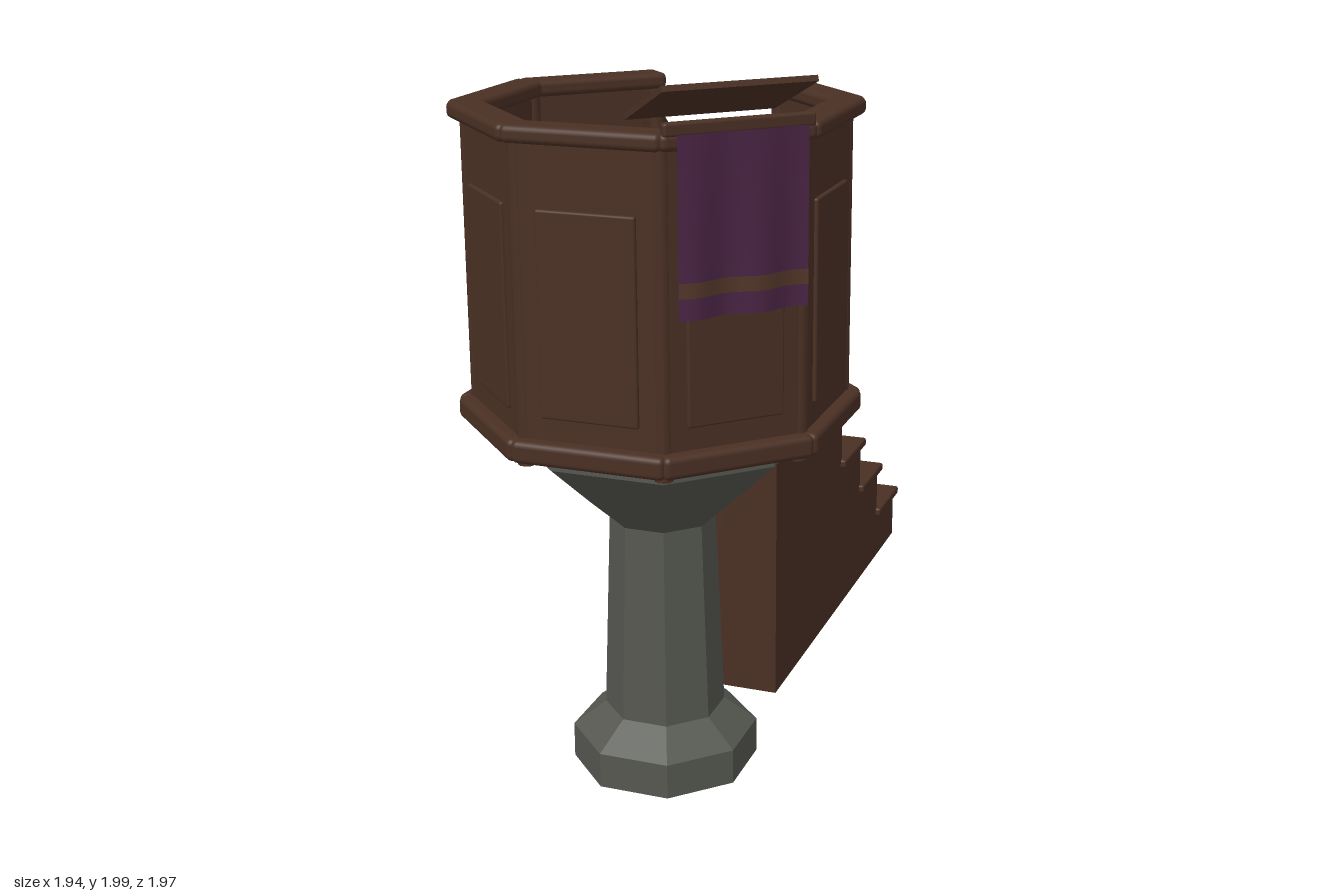
import * as THREE from 'three';
import { RoundedBoxGeometry } from 'three/addons/geometries/RoundedBoxGeometry.js';

const wood = new THREE.MeshStandardMaterial({ name: 'darkWood', color: 0x4a3024 });
const stone = new THREE.MeshStandardMaterial({ name: 'greyStone', color: 0x555750, flatShading: true });
const cloth = new THREE.MeshStandardMaterial({ name: 'purpleCloth', color: 0x4a2444, side: THREE.DoubleSide });
const trim = new THREE.MeshStandardMaterial({ name: 'trimBand', color: 0x523629, side: THREE.DoubleSide });

function add(parent, name, geometry, material, x = 0, y = 0, z = 0) {
  const mesh = new THREE.Mesh(geometry, material);
  mesh.name = name;
  mesh.position.set(x, y, z);
  parent.add(mesh);
  return mesh;
}

function group(parent, name, turn = 0) {
  const g = new THREE.Group();
  g.name = name;
  g.rotation.y = turn;
  parent.add(g);
  return g;
}

// Octagonal stone pedestal with flat sides to the front; profile uses apothems
function buildPedestal(parent) {
  const k = 1 / Math.cos(Math.PI / 8);
  const profile = [[0, 0], [0.24, 0], [0.24, 0.1], [0.155, 0.17], [0.135, 0.735], [0.25, 0.845], [0.375, 0.97], [0.375, 1.02], [0, 1.02]]
    .map(([r, y]) => new THREE.Vector2(r * k, y));
  add(parent, 'pedestal', new THREE.LatheGeometry(profile, 8, Math.PI / 8), stone);
}

// Octagonal box with one side open towards the stair
function buildBox(parent) {
  const floor = add(parent, 'floor', new THREE.CylinderGeometry(0.505, 0.505, 0.025, 8), wood, 0, 1.032, 0);
  floor.rotation.y = Math.PI / 8;
  for (let i = 0; i < 8; i++) {
    const post = group(parent, 'cornerPost', (i + 0.5) * Math.PI / 4);
    add(post, 'post', new THREE.CylinderGeometry(0.024, 0.024, 0.835, 10), wood, 0, 1.43, 0.485).visible = true;
    if (i === 3) continue;
    const side = group(parent, 'side', i * Math.PI / 4);
    add(side, 'wall', new THREE.BoxGeometry(0.386, 0.8, 0.03), wood, 0, 1.45, 0.453);
    add(side, 'raisedPanel', new RoundedBoxGeometry(0.262, 0.53, 0.03, 2, 0.006), wood, 0, 1.412, 0.463);
    add(side, 'topRail', new RoundedBoxGeometry(0.412, 0.045, 0.095, 3, 0.016), wood, 0, 1.86, 0.457);
    add(side, 'baseRail', new RoundedBoxGeometry(0.412, 0.06, 0.06, 3, 0.016), wood, 0, 1.058, 0.475);
  }
}

// Sloping book rest with a front bar
function buildDesk(parent) {
  const desk = add(parent, 'bookRest', new THREE.BoxGeometry(0.405, 0.015, 0.253), wood, 0, 1.938, 0.388);
  desk.rotation.x = -Math.atan2(0.1, 0.235);
  add(parent, 'bookRestBar', new RoundedBoxGeometry(0.4, 0.035, 0.025, 2, 0.008), wood, 0, 1.89, 0.493);
}

// Cloth sheet between two heights, with folds that deepen downwards
function clothSheet(bottom, top, offset) {
  const geo = new THREE.PlaneGeometry(0.345, top - bottom, 24, 8);
  geo.translate(0, (top + bottom) / 2, 0);
  const p = geo.attributes.position;
  for (let i = 0; i < p.count; i++) {
    const drop = (1.88 - p.getY(i)) / 0.45;
    p.setZ(i, 0.519 + offset + (0.003 + 0.008 * drop) * Math.sin(p.getX(i) * 36));
  }
  geo.computeVertexNormals();
  return geo;
}

// Stair blocks, treads and the handrail; local z runs down the flight
function buildStair(parent) {
  const stair = group(parent, 'stair', Math.PI * 0.75);
  const run = 0.2287;
  for (let i = 0; i < 6; i++) {
    const top = 1.035 - i * 0.17;
    const z = 0.453 + (i + 0.5) * run;
    add(stair, 'stepBlock', new THREE.BoxGeometry(0.36, top - 0.025, run), wood, 0, (top - 0.025) / 2, z);
    add(stair, 'tread', new RoundedBoxGeometry(0.395, 0.028, 0.25, 2, 0.008), wood, 0, top - 0.014, z);
  }
  const start = new THREE.Vector3(0.212, 1.76, 0.5);
  const end = new THREE.Vector3(0.212, 0.745, 1.71);
  const rail = add(stair, 'handrail', new THREE.CylinderGeometry(0.02, 0.02, start.distanceTo(end), 12), wood);
  rail.position.copy(start).lerp(end, 0.5);
  rail.quaternion.setFromUnitVectors(new THREE.Vector3(0, 1, 0), start.clone().sub(end).normalize());
  for (let i = 0; i < 3; i++) {
    const z = 0.548 + i * 0.489;
    const y = THREE.MathUtils.mapLinear(z, start.z, end.z, start.y, end.y);
    add(stair, 'baluster', new THREE.CylinderGeometry(0.014, 0.014, 0.7, 10), wood, 0.212, y - 0.35, z);
  }
}

export function createModel() {
  const model = new THREE.Group();
  model.name = 'pulpit';
  const body = group(model, 'body');
  body.position.set(-0.468, 0, 0.45);
  buildPedestal(body);
  buildBox(body);
  buildDesk(body);
  add(body, 'hangingCloth', clothSheet(1.435, 1.88, 0), cloth);
  add(body, 'clothBand', clothSheet(1.49, 1.528, 0.003), trim);
  buildStair(body);
  return model;
}
